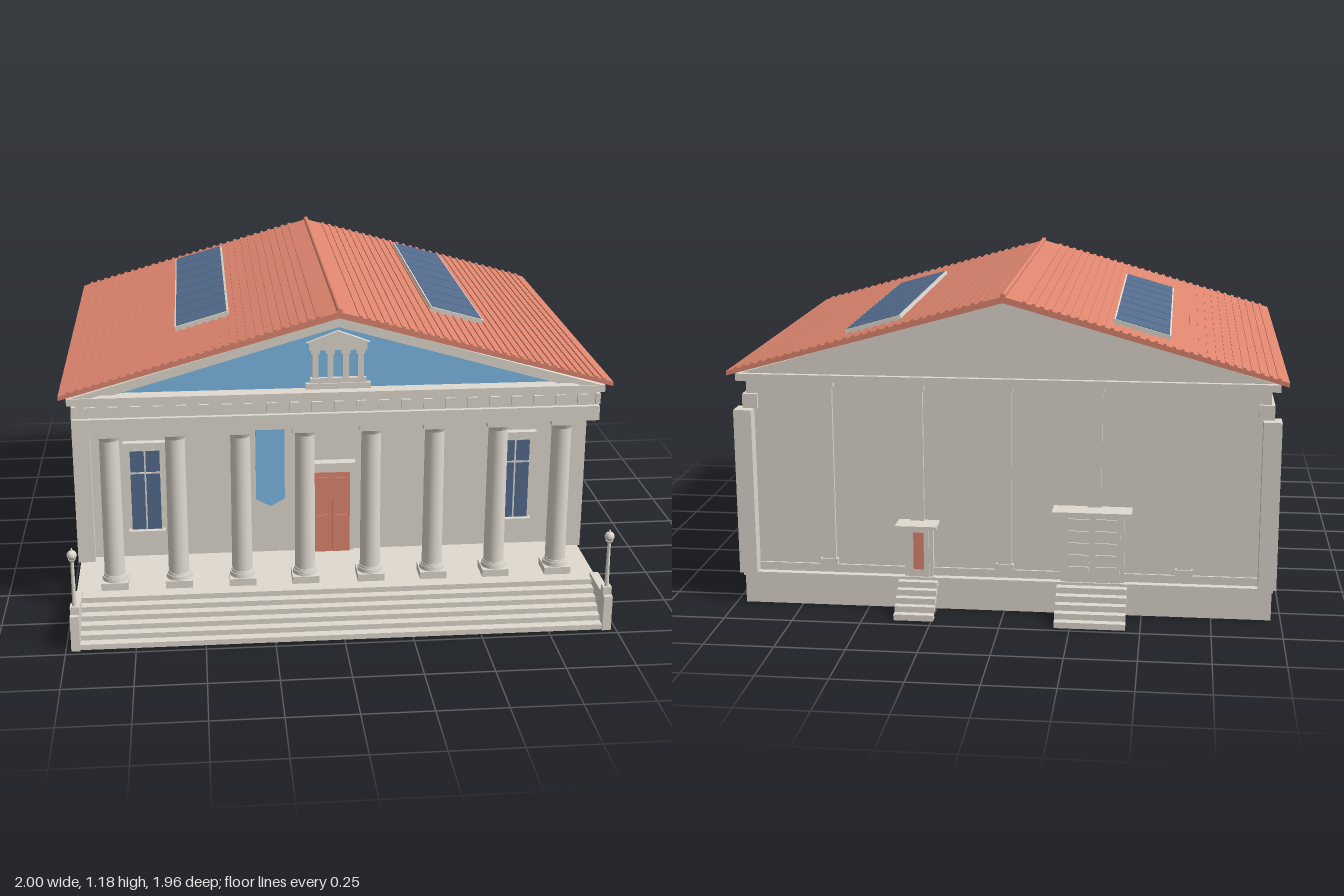
import * as THREE from 'three';

const mat = (name, color) => Object.assign(new THREE.MeshStandardMaterial({ color }), { name });

export function createModel() {
  const root = new THREE.Group();
  root.name = 'templeHall';
  const stone = mat('stone', 0xe0dad0);
  const tile = mat('terracotta', 0xe08770);
  const blue = mat('blue', 0x7db9e6);
  const glass = mat('glass', 0x546c8e);

  const add = (name, geo, m, parent = root) => {
    const mesh = new THREE.Mesh(geo, m);
    mesh.name = name;
    parent.add(mesh);
    return mesh;
  };
  // Box given by its two limits on each axis, in either order
  const box = (name, m, x0, x1, y0, y1, z0, z1, parent = root) => {
    const b = add(name, new THREE.BoxGeometry(Math.abs(x1 - x0), Math.abs(y1 - y0), Math.abs(z1 - z0)), m, parent);
    b.position.set((x0 + x1) / 2, (y0 + y1) / 2, (z0 + z1) / 2);
    return b;
  };
  const drum = (name, m, rTop, rBottom, y0, y1, x, z, parent = root) => {
    const c = add(name, new THREE.CylinderGeometry(rTop, rBottom, y1 - y0, 24), m, parent);
    c.position.set(x, (y0 + y1) / 2, z);
    return c;
  };
  const poly = (pts) => new THREE.Shape(pts.map(([x, y]) => new THREE.Vector2(x, y)));
  const slab = (name, m, shape, z0, z1, parent = root) => {
    const s = add(name, new THREE.ExtrudeGeometry(shape, { depth: z1 - z0, bevelEnabled: false }), m, parent);
    s.position.z = z0;
    return s;
  };

  // Hollow base: floor slab on thin walls, with stacked front steps
  box('floor', stone, -0.97, 0.97, 0.105, 0.12, -0.83, 0.77);
  box('baseBack', stone, -0.965, 0.965, 0, 0.105, -0.825, -0.813);
  for (let i = 0; i < 6; i++) {
    const z = 0.97 - 0.035 * i;
    box('frontStep', stone, -0.95, 0.95, 0.02 * i, 0.02 * (i + 1), z - 0.04, z);
  }

  for (const s of [-1, 1]) {
    box('baseSide', stone, s * 0.953, s * 0.965, 0, 0.105, -0.825, 0.765);
    // Step cheeks with lamp posts
    box('stepCheek', stone, s * 0.948, s * 0.98, 0, 0.135, 0.765, 0.978);
    const lamp = new THREE.Group();
    lamp.name = 'lampPost';
    lamp.position.set(s * 0.963, 0, 0.945);
    root.add(lamp);
    box('lampFoot', stone, -0.016, 0.016, 0.135, 0.165, -0.016, 0.016, lamp);
    drum('lampPole', stone, 0.006, 0.008, 0.165, 0.34, 0, 0, lamp);
    drum('lampCollar', stone, 0.014, 0.008, 0.335, 0.345, 0, 0, lamp);
    add('lampGlobe', new THREE.SphereGeometry(0.018, 20, 14), stone, lamp).position.y = 0.36;
    drum('lampFinial', stone, 0.002, 0.006, 0.374, 0.386, 0, 0, lamp);
  }

  // Hall walls and corner piers
  const wz = 0.435, bz = -0.795;
  box('hall', stone, -0.945, 0.945, 0.12, 0.735, bz, wz);
  for (const s of [-1, 1]) {
    box('frontPier', stone, s * 0.915, s * 0.98, 0.12, 0.737, 0.41, 0.48);
    box('backPier', stone, s * 0.915, s * 0.98, 0.12, 0.737, -0.845, -0.775);
    box('sidePlinth', stone, s * 0.94, s * 0.955, 0.12, 0.165, -0.775, 0.41);
    // Side pilasters
    for (const z of [0.136, -0.178, -0.49]) {
      box('sidePilaster', stone, s * 0.94, s * 0.965, 0.16, 0.735, z - 0.023, z + 0.023);
      box('pilasterFoot', stone, s * 0.94, s * 0.97, 0.165, 0.188, z - 0.031, z + 0.031);
      box('pilasterCap', stone, s * 0.94, s * 0.97, 0.71, 0.735, z - 0.031, z + 0.031);
    }
    // Framed side panels
    for (const z of [0.29, -0.023, -0.338, -0.652]) {
      const x0 = s * 0.94, x1 = s * 0.958, t = 0.014;
      for (const e of [-1, 1]) box('panelStile', stone, x0, x1, 0.245, 0.625, z + e * 0.1, z + e * (0.1 - t));
      box('panelRail', stone, x0, x1, 0.245, 0.245 + t, z - 0.1, z + 0.1);
      box('panelRail', stone, x0, x1, 0.625 - t, 0.625, z - 0.1, z + 0.1);
    }
  }

  // Portico columns
  for (const s of [-1, 1]) for (const x of [0.122, 0.357, 0.593, 0.83]) {
    const col = new THREE.Group();
    col.name = 'column';
    col.position.set(s * x, 0, 0.69);
    root.add(col);
    box('plinth', stone, -0.05, 0.05, 0.12, 0.148, -0.05, 0.05, col);
    drum('lowerRing', stone, 0.045, 0.047, 0.148, 0.163, 0, 0, col);
    drum('upperRing', stone, 0.04, 0.042, 0.163, 0.172, 0, 0, col);
    drum('shaft', stone, 0.036, 0.038, 0.172, 0.7, 0, 0, col);
    drum('capital', stone, 0.046, 0.037, 0.698, 0.718, 0, 0, col);
    box('abacus', stone, -0.048, 0.048, 0.716, 0.736, -0.048, 0.048, col);
  }

  // Entablature with blocks along the frieze
  box('architrave', stone, -0.955, 0.955, 0.735, 0.79, bz, 0.745);
  box('frieze', stone, -0.943, 0.943, 0.79, 0.842, bz, 0.728);
  box('cornice', stone, -0.972, 0.972, 0.842, 0.868, -0.83, 0.74);
  for (let i = -11; i <= 11; i++) {
    box('friezeBlock', stone, i * 0.081 - 0.018, i * 0.081 + 0.018, 0.797, 0.833, 0.72, 0.738);
  }
  for (const s of [-1, 1]) {
    box('friezeReturn', stone, s * 0.94, s * 0.957, 0.795, 0.836, 0.44, 0.74);
    box('backCorner', stone, s * 0.9, s * 0.955, 0.735, 0.79, -0.81, bz);
  }

  // Gable body, blue front face and raking mouldings
  const tri = (apex, y = 0.865) => {
    const w = (apex - y) / 0.288;
    return [[-w, y], [w, y], [0, apex]];
  };
  slab('gable', stone, poly(tri(1.143)), -0.81, 0.675);
  slab('gableFace', blue, poly(tri(1.105)), 0.675, 0.68);
  for (const [hole, z] of [[1.1, 0.705], [1.123, 0.735]]) {
    const outer = poly([[-0.965, 0.865], [0.965, 0.865], [0, 1.144]]);
    outer.holes.push(poly(tri(hole, 0.868).reverse()));
    slab('rakingMoulding', stone, outer, 0.675, z);
  }

  // Small temple relief on the gable
  const relief = new THREE.Group();
  relief.name = 'gableRelief';
  root.add(relief);
  box('reliefStep', stone, -0.118, 0.118, 0.868, 0.889, 0.68, 0.7, relief);
  box('reliefFloor', stone, -0.102, 0.102, 0.889, 0.908, 0.68, 0.695, relief);
  for (const x of [-0.082, -0.028, 0.028, 0.082]) {
    box('reliefColumn', stone, x - 0.011, x + 0.011, 0.908, 1.012, 0.68, 0.692, relief);
    box('reliefCap', stone, x - 0.016, x + 0.016, 0.998, 1.012, 0.68, 0.695, relief);
  }
  box('reliefBeam', stone, -0.105, 0.105, 1.012, 1.04, 0.68, 0.695, relief);
  slab('reliefPediment', stone, poly([[-0.115, 1.04], [0.115, 1.04], [0, 1.083]]), 0.68, 0.697, relief);

  // Roof: one profile with ribs running along the ridge
  const slope = 0.286, roofY = (x) => 1.166 - slope * x;
  const half = [[0, roofY(0)]];
  const ribs = 30, step = 0.92 / ribs, rise = 0.006;
  for (let i = 0; i < ribs; i++) {
    const a = 0.07 + i * step, b = a + step * 0.4;
    half.push([a, roofY(a)], [a, roofY(a) + rise], [b, roofY(b) + rise], [b, roofY(b)]);
  }
  half.push([1, roofY(1)], [1, 0.864]);
  const mirrored = half.slice(1).reverse().map(([x, y]) => [-x, y]);
  slab('roof', tile, poly([...mirrored, ...half, [0, 1.143]]), -0.845, 0.742);
  const ridge = drum('ridgeRoll', tile, 0.01, 0.01, 0, 1.587, 0, 0);
  ridge.rotation.x = Math.PI / 2;
  ridge.position.set(0, 1.168, -0.0515);

  // Skylights, eight panes on each slope
  for (const s of [-1, 1]) {
    const sky = new THREE.Group();
    sky.name = 'skylight';
    sky.position.set(s * 0.48, roofY(0.48), 0);
    sky.rotation.z = -s * Math.atan(slope);
    root.add(sky);
    box('skylightFrame', stone, -0.105, 0.105, 0, 0.019, -0.735, 0.365, sky);
    for (let i = 0; i < 8; i++) {
      const z = -0.729 + i * 0.1365;
      box('skylightPane', glass, -0.099, 0.099, 0.016, 0.021, z, z + 0.13, sky);
    }
  }

  // Front door
  box('doorFrame', stone, -0.085, 0.085, 0.12, 0.46, wz, wz + 0.012);
  box('doorLintel', stone, -0.085, 0.085, 0.452, 0.475, wz, wz + 0.025);
  box('doorCornice', stone, -0.09, 0.09, 0.478, 0.495, wz, wz + 0.042);
  box('doorBack', tile, -0.07, 0.07, 0.12, 0.45, wz, wz + 0.016);
  for (const s of [-1, 1]) {
    box('doorLeaf', tile, s * 0.002, s * 0.07, 0.12, 0.45, wz, wz + 0.021);
    for (const [a, b] of [[0.145, 0.275], [0.295, 0.43]]) {
      box('doorPanel', tile, s * 0.014, s * 0.058, a, b, wz, wz + 0.026);
    }
    // Front windows
    const cx = s * 0.713, w = 0.056;
    box('windowFrame', stone, cx - 0.062, cx + 0.062, 0.232, 0.563, wz, wz + 0.012);
    box('windowGlass', glass, cx - w, cx + w, 0.238, 0.557, wz + 0.01, wz + 0.016);
    box('windowMullion', stone, cx - 0.003, cx + 0.003, 0.238, 0.557, wz, wz + 0.02);
    box('windowBar', stone, cx - w, cx + w, 0.467, 0.473, wz, wz + 0.02);
    box('windowLintel', stone, cx - 0.08, cx + 0.08, 0.57, 0.595, wz, wz + 0.03);
    box('windowSill', stone, cx - 0.07, cx + 0.07, 0.222, 0.235, wz, wz + 0.03);
    // Hanging banners
    const bx = s * 0.238, b = 0.055;
    box('bannerRod', stone, bx - 0.068, bx + 0.068, 0.683, 0.692, wz, wz + 0.043);
    slab('banner', s < 0 ? blue : stone, poly([[bx - b, 0.685], [bx - b, 0.355], [bx, 0.325], [bx + b, 0.355], [bx + b, 0.685]]), wz + 0.03, wz + 0.037);
  }
  box('bannerStripe', stone, -0.278, -0.198, 0.638, 0.652, wz + 0.035, wz + 0.041);

  // Back wall: plinth, tall pilasters, doors, canopies and stairs
  box('backPlinth', stone, -0.92, 0.92, 0.12, 0.15, -0.803, bz);
  for (const [x, y] of [[-0.65, 0.15], [-0.325, 0.4], [0, 0.15], [0.32, 0.33], [0.65, 0.15]]) {
    box('backPilaster', stone, x - 0.025, x + 0.025, y, 0.842, -0.81, bz);
    box('backPilasterCap', stone, x - 0.032, x + 0.032, 0.818, 0.842, -0.815, bz);
    if (y < 0.2) box('backPilasterFoot', stone, x - 0.032, x + 0.032, y, y + 0.025, -0.815, bz);
  }
  const backDoor = (x, w, h, canopy, stair, depth) => {
    box('backDoorFrame', stone, x - w - 0.015, x + w + 0.015, 0.12, h, -0.818, bz);
    box('backDoor', stone, x - w, x + w, 0.12, h - 0.015, -0.824, bz);
    box('backCanopy', stone, x - canopy, x + canopy, h, h + 0.012, -0.882, bz);
    for (let i = 0; i < 5; i++) {
      const z = -0.83 - depth * (5 - i) / 5;
      box('backStep', stone, x - stair, x + stair, 0.022 * i, 0.022 * (i + 1), z, z + depth / 5 + 0.006);
    }
  };
  backDoor(0.315, 0.038, 0.318, 0.075, 0.072, 0.13);
  box('backDoorStrip', tile, 0.295, 0.333, 0.15, 0.29, -0.828, -0.822);
  backDoor(-0.32, 0.1, 0.388, 0.142, 0.127, 0.148);
  for (let i = 0; i < 5; i++) {
    for (const s of [-1, 1]) {
      const y = 0.15 + i * 0.045;
      box('backDoorSlat', stone, -0.32 + s * 0.012, -0.32 + s * 0.088, y, y + 0.03, -0.83, -0.82);
    }
  }
  return root;
}
